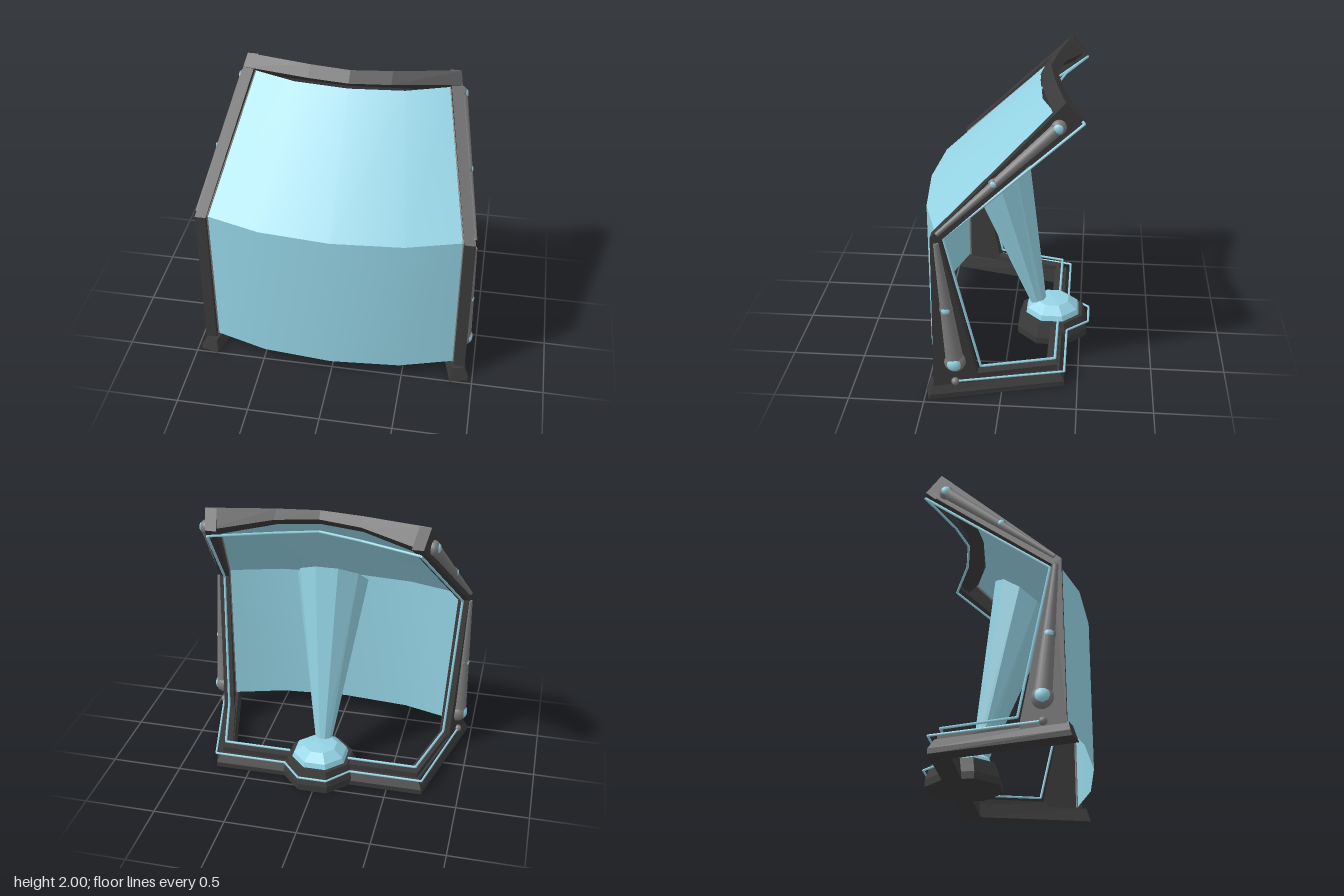
import * as THREE from 'three';

const glow = new THREE.MeshStandardMaterial({ color: 0x94d3e4 });
glow.name = 'pale blue';
const screenMat = new THREE.MeshStandardMaterial({ color: 0x94d3e4, side: THREE.DoubleSide });
screenMat.name = 'pale blue screen';
const dark = new THREE.MeshStandardMaterial({ color: 0x3a3a3a });
dark.name = 'charcoal';
const grey = new THREE.MeshStandardMaterial({ color: 0x7a7a7a });
grey.name = 'grey';

const V = (x, y, z) => new THREE.Vector3(x, y, z);
// outer face of the splayed side frames
const outX = z => 0.937 + 0.262 * (z - 0.43);

function add(parent, name, geo, mat) {
  const m = new THREE.Mesh(geo, mat);
  m.name = name;
  parent.add(m);
  return m;
}

// Flat-shaded closed solid through rings of points, with capped ends
function loft(rings) {
  const tris = [], n = rings[0].length;
  for (let r = 0; r < rings.length - 1; r++) {
    for (let i = 0; i < n; i++) {
      const j = (i + 1) % n, a = rings[r], b = rings[r + 1];
      tris.push([a[i], a[j], b[j]], [a[i], b[j], b[i]]);
    }
  }
  const first = rings[0], last = rings[rings.length - 1];
  for (let i = 1; i < n - 1; i++) {
    tris.push([first[0], first[i + 1], first[i]], [last[0], last[i], last[i + 1]]);
  }
  // turn the faces outwards
  const c = V(0, 0, 0);
  let vol = 0;
  for (const t of tris) vol += c.crossVectors(t[1], t[2]).dot(t[0]);
  const pts = tris.flatMap(t => (vol < 0 ? [t[0], t[2], t[1]] : t));
  const g = new THREE.BufferGeometry().setFromPoints(pts);
  g.computeVertexNormals();
  return g;
}

// Tapered round bar between two points
function rod(parent, name, a, b, ra, rb, mat, sides = 6) {
  const d = b.clone().sub(a);
  const m = add(parent, name, new THREE.CylinderGeometry(rb, ra, d.length(), sides), mat);
  m.position.copy(a).addScaledVector(d, 0.5);
  m.quaternion.setFromUnitVectors(V(0, 1, 0), d.normalize());
  return m;
}

function strip(parent, name, pts, r, mat) {
  for (let i = 0; i < pts.length - 1; i++) rod(parent, name, pts[i], pts[i + 1], r, r, mat);
}

// Sweep an inset/height section along the base outline, with mitred corners
function baseSweep(path, section) {
  const normal = i => {
    const [ax, az] = path[i], [bx, bz] = path[i + 1];
    const l = Math.hypot(bx - ax, bz - az);
    return [(bz - az) / l, -(bx - ax) / l];
  };
  return loft(path.map(([x, z], i) => {
    const p = normal(Math.max(i - 1, 0)), q = normal(Math.min(i, path.length - 2));
    const k = 1 + p[0] * q[0] + p[1] * q[1];
    const m = [(p[0] + q[0]) / k, (p[1] + q[1]) / k];
    const end = i === 0 || i === path.length - 1;
    return section.map(([inset, y]) =>
      V(x + m[0] * inset, y, z + m[1] * inset - (end ? 0.3 * y : 0)));
  }));
}

function lathe8(profile) {
  const g = new THREE.LatheGeometry(profile.map(p => new THREE.Vector2(...p)), 8, Math.PI / 8).toNonIndexed();
  g.computeVertexNormals();
  return g;
}

function flatKnob(parent, name, x, y, z, r, depth, mat) {
  const m = add(parent, name, new THREE.SphereGeometry(r, 16, 10), mat);
  m.scale.x = depth / r;
  m.position.set(x, y, z);
}

function createModel() {
  const model = new THREE.Group();
  model.name = 'screenStation';

  // Base: U-shaped beam open at the front, with a raised inner tier
  const base = new THREE.Group();
  base.name = 'base';
  model.add(base);
  const path = [[0.97, 0.47], [0.745, -0.41], [-0.745, -0.41], [-0.97, 0.47]];
  add(base, 'baseBeam', baseSweep(path, [[0, 0], [0, 0.035], [0.035, 0.1], [0.12, 0.1], [0.13, 0]]), dark);
  const tier = [[0.9, 0.2], [0.745, -0.41], [-0.745, -0.41], [-0.9, 0.2]];
  add(base, 'baseTier', baseSweep(tier, [[0.05, 0.09], [0.05, 0.14], [0.115, 0.14], [0.115, 0.09]]), dark);

  // Octagonal projector stand and its lens
  const stand = add(base, 'projectorStand',
    lathe8([[0, 0], [0.267, 0], [0.267, 0.05], [0.232, 0.155], [0, 0.155]]), dark);
  const lens = add(base, 'projectorLens',
    lathe8([[0.205, 0.15], [0.19, 0.19], [0.12, 0.24], [0, 0.25]]), glow);
  stand.position.z = lens.position.z = -0.3;

  // Light beam widening towards the screen, cut parallel to it
  const beamRing = (cy, cz, r, dy, dz) => Array.from({ length: 10 }, (_, i) => {
    const a = (i / 10) * Math.PI * 2, s = Math.sin(a);
    return V(Math.cos(a) * r, cy + s * dy, cz + s * dz);
  });
  add(model, 'lightBeam', loft([
    beamRing(0.22, -0.195, 0.06, 0.01, -0.057),
    beamRing(1.37, 0.1, 0.25, 0.16, -0.2),
  ]), glow);

  // Bowed screen: upright lower panel and sloping upper panel
  const cols = [-1, -0.565, 0, 0.565, 1];
  const row = (y, w, zs) => cols.map((c, i) => V(c * w, y, zs[Math.abs(i - 2)]));
  const lowZ = [0.56, 0.52, 0.41];
  const bottom = row(0.115, 0.855, lowZ);
  const knee = row(1.18, 0.855, lowZ);
  const top = row(1.9, 0.66, [-0.19, -0.225, -0.325]);
  for (const [name, a, b] of [['lowerScreen', bottom, knee], ['upperScreen', knee, top]]) {
    const g = new THREE.BufferGeometry().setFromPoints([...a, ...b]);
    const index = [];
    for (let i = 0; i < 4; i++) index.push(i, i + 1, i + 6, i, i + 6, i + 5);
    g.setIndex(index);
    g.computeVertexNormals();
    add(model, name, g, screenMat);
  }

  // Bowed top bar
  const barEnd = [[-0.31, 1.93], [-0.38, 2], [-0.49, 1.89], [-0.42, 1.82]];
  const barMid = [[-0.22, 1.937], [-0.295, 2], [-0.35, 1.945], [-0.275, 1.885]];
  const barCentre = [[-0.19, 1.937], [-0.26, 2], [-0.305, 1.955], [-0.235, 1.895]];
  const barRing = (pts, x) => pts.map(([z, y]) => V(x(z), y, z));
  add(model, 'topBar', loft([
    barRing(barEnd, z => -outX(z)), barRing(barMid, () => -0.28), barRing(barCentre, () => 0),
    barRing(barMid, () => 0.28), barRing(barEnd, outX),
  ]), dark);

  // Side frames
  const post = [[0.44, 0.05], [0.43, 1.18], [0.37, 1.15], [0.16, 0.14], [0.16, 0.05]];
  const arm = [[0.43, 1.18], [-0.38, 2], [-0.49, 1.89], [0.37, 1.15]];
  for (const s of [1, -1]) {
    const side = new THREE.Group();
    side.name = s > 0 ? 'leftFrame' : 'rightFrame';
    model.add(side);
    const on = (z, y, out = 0) => V(s * (outX(z) + out), y, z);
    for (const [name, prof] of [['post', post], ['arm', arm]]) {
      add(side, name, loft([0, -0.075].map(o => prof.map(([z, y]) => on(z, y, o)))), dark);
    }
    // Grey edging beside the screen
    strip(side, 'screenEdging', [V(s * 0.86, 0.11, 0.405), V(s * 0.86, 1.18, 0.405), V(s * 0.665, 1.9, -0.335)], 0.012, grey);

    // Tapered braces with round ends and lit buttons
    const braces = [
      [[0.3, 0.265, 0.072], [0.395, 1.14, 0.018], [0.345, 0.665, 0.045]],
      [[-0.34, 1.85, 0.05], [0.39, 1.2, 0.015], [0.045, 1.515, 0.033]],
    ];
    for (const [[z, y, r], [z2, y2, r2], [zm, ym, rm]] of braces) {
      rod(side, 'brace', on(z, y), on(z2, y2), r * 0.85, r2, grey, 12);
      for (const [kz, ky, kr] of [[z, y, r], [zm, ym, rm]]) {
        flatKnob(side, 'braceKnob', s * outX(kz), ky, kz, kr, kr * 0.9, grey);
        flatKnob(side, 'button', s * (outX(kz) + kr * 0.55), ky, kz, kr * 0.67, kr * 0.43, glow);
      }
    }
    flatKnob(side, 'footKnob', s * (outX(0.3) + 0.01), 0.115, 0.3, 0.026, 0.026, grey);
  }

  // Light strips: half outlines mirrored into full runs
  const mirrored = pts => [...pts, ...pts.slice().reverse().map(p => V(-p.x, p.y, p.z))];
  strip(model, 'outerLightStrip', mirrored([
    V(0.915, 0.115, 0.3), V(0.745, 0.115, -0.41), V(0.235, 0.115, -0.41), V(0.1, 0.115, -0.56),
  ]), 0.008, glow);
  const inner = [
    V(0.21, 0.18, -0.345), V(0.69, 0.18, -0.345), V(outX(0.14) - 0.04, 0.18, 0.14),
    V(outX(0.36) - 0.04, 1.15, 0.355), V(0.68, 1.855, -0.495), V(0.28, 1.855, -0.35), V(0, 1.87, -0.3),
  ];
  strip(model, 'innerLightStrip', mirrored(inner.slice(0, -1)).toSpliced(6, 0, inner[6]), 0.009, glow);

  return model;
}

export { createModel };
